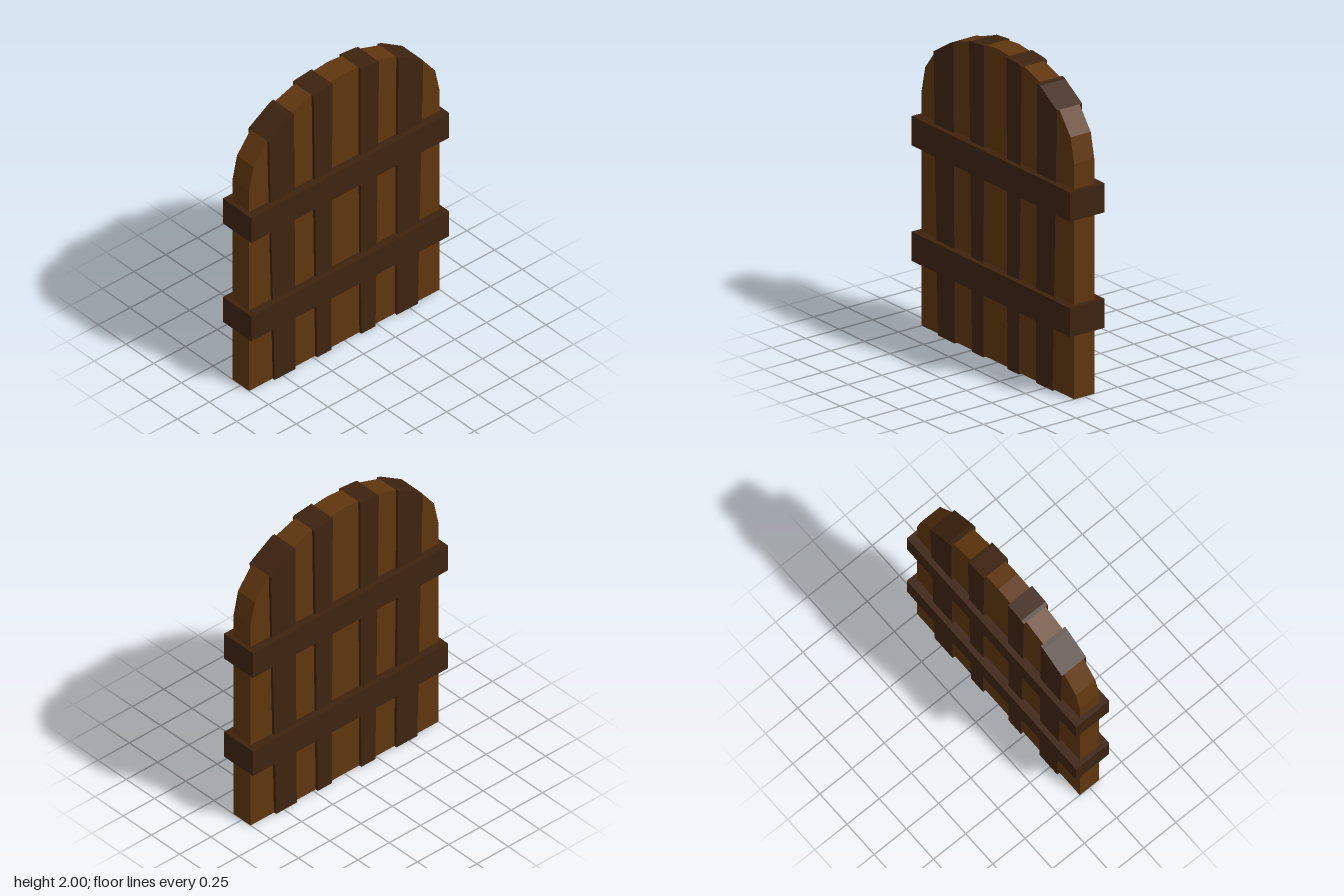
import * as THREE from 'three';

// Arched top edge of the door, left to right
const ARCH = [
  [-0.75, 1.5], [-0.715, 1.66], [-0.608, 1.8], [-0.44, 1.907], [-0.235, 1.977], [0, 2],
  [0.235, 1.977], [0.44, 1.907], [0.608, 1.8], [0.715, 1.66], [0.75, 1.5],
];

// Seams between planks: [x at the bottom, x at the top]
const SEAMS = [
  [-0.75, -0.75], [-0.565, -0.608], [-0.4, -0.413], [-0.23, -0.258], [-0.118, -0.11],
  [0.118, 0.11], [0.23, 0.258], [0.398, 0.41], [0.563, 0.605], [0.75, 0.75],
];

function archHeight(x) {
  for (let i = 1; i < ARCH.length; i++) {
    const [x0, y0] = ARCH[i - 1], [x1, y1] = ARCH[i];
    if (x <= x1) return y0 + (y1 - y0) * (x - x0) / (x1 - x0);
  }
  return ARCH[ARCH.length - 1][1];
}

// Tapered plank between two seams, cut off along the arch
function plankGeometry([b0, t0], [b1, t1], depth) {
  const top = ARCH.filter(([x]) => x > t0 + 0.005 && x < t1 - 0.005).reverse();
  const outline = [[b0, 0], [b1, 0], [t1, archHeight(t1)], ...top, [t0, archHeight(t0)]];
  const shape = new THREE.Shape(outline.map(([x, y]) => new THREE.Vector2(x, y)));
  return new THREE.ExtrudeGeometry(shape, { depth, bevelEnabled: false }).translate(0, 0, -depth / 2);
}

export function createModel() {
  const lightWood = new THREE.MeshStandardMaterial({ color: 0x5f360e });
  lightWood.name = 'light wood';
  const darkWood = new THREE.MeshStandardMaterial({ color: 0x3d230f });
  darkWood.name = 'dark wood';

  const door = new THREE.Group();
  door.name = 'door';

  // Alternating planks, the dark ones thicker
  for (let i = 0; i < SEAMS.length - 1; i++) {
    const dark = i % 2 === 1;
    const geometry = plankGeometry(SEAMS[i], SEAMS[i + 1], dark ? 0.188 : 0.15);
    const plank = new THREE.Mesh(geometry, dark ? darkWood : lightWood);
    plank.name = dark ? 'darkPlank' : 'lightPlank';
    door.add(plank);
  }

  // Cross bars wrapping around the planks
  for (const [name, y] of [['lowerBar', 0.51], ['upperBar', 1.247]]) {
    const bar = new THREE.Mesh(new THREE.BoxGeometry(1.56, 0.186, 0.257), darkWood);
    bar.name = name;
    bar.position.y = y;
    door.add(bar);
  }
  return door;
}
